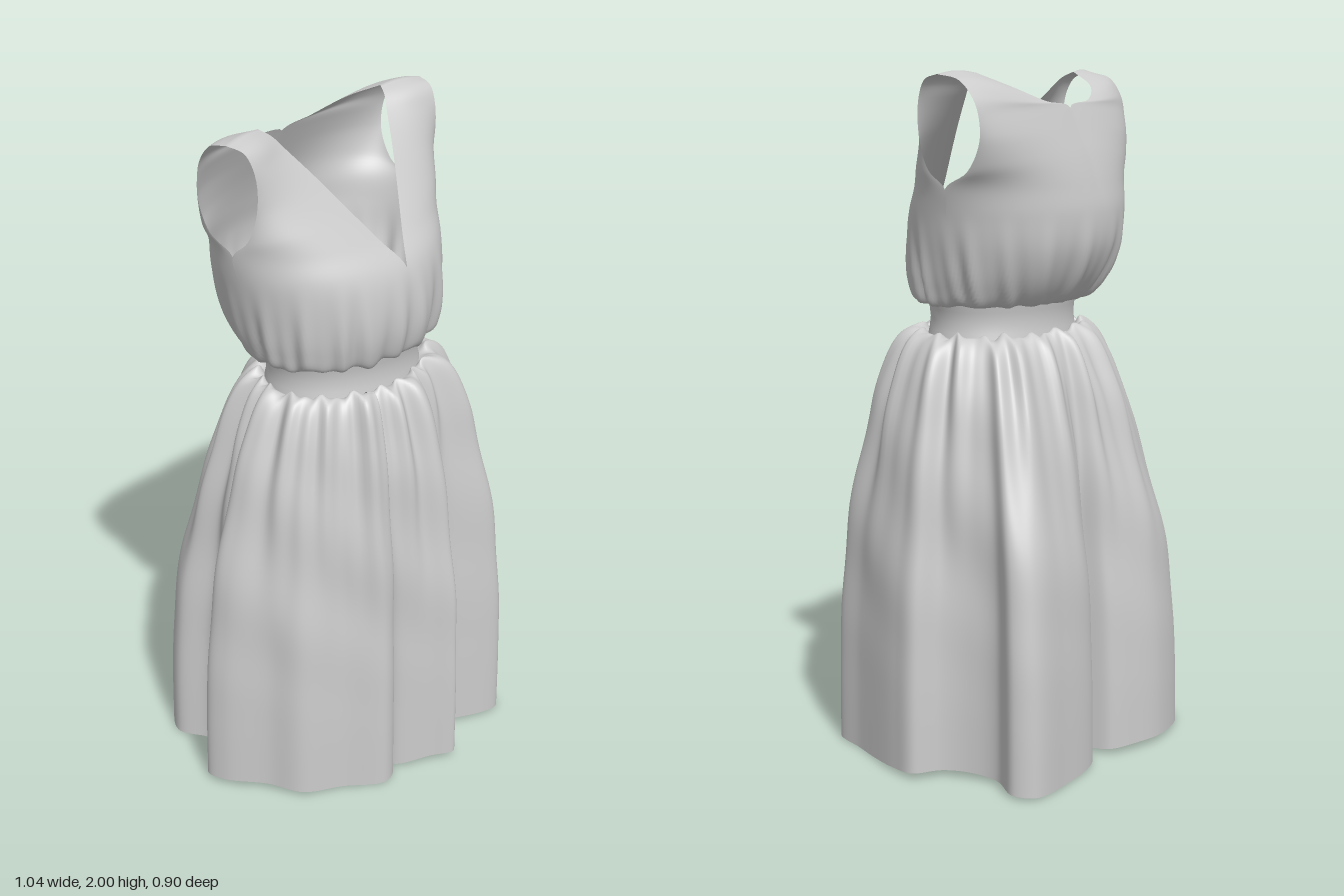
import * as THREE from 'three';
import { mergeGeometries, mergeVertices } from 'three/addons/utils/BufferGeometryUtils.js';

const cloth = new THREE.MeshStandardMaterial({ color: 0xcccccc, side: THREE.DoubleSide });
const WAIST = { rx: 0.26, rz: 0.195, z: 0.035 };
const { smoothstep: smooth, lerp } = THREE.MathUtils;

// Surface through a grid of points; point(u, v) returns a Vector3
function gridSurface(nu, nv, point, flip = false) {
  const pos = [], index = [];
  for (let j = 0; j <= nv; j++)
    for (let i = 0; i <= nu; i++) pos.push(...point(i / nu, j / nv).toArray());
  for (let j = 0; j < nv; j++)
    for (let i = 0; i < nu; i++) {
      const a = j * (nu + 1) + i, b = a + 1, c = a + nu + 1, d = c + 1;
      if (flip) index.push(a, c, b, b, c, d);
      else index.push(a, b, c, b, d, c);
    }
  const g = new THREE.BufferGeometry();
  g.setAttribute('position', new THREE.Float32BufferAttribute(pos, 3));
  g.setIndex(index);
  return g;
}

function clothMesh(name, parts) {
  const g = mergeVertices(mergeGeometries(parts), 1e-4);
  g.computeVertexNormals();
  const mesh = new THREE.Mesh(g, cloth);
  mesh.name = name;
  return mesh;
}

// Irregular gathers around the waist, about -1 to 1
const gathers = (a) =>
  0.5 * Math.sin(19 * a + 1.3 * Math.sin(3 * a)) + 0.3 * Math.sin(31 * a + 2 * Math.sin(2 * a + 1)) + 0.2 * Math.sin(11 * a + 0.7);

// Skirt: blends from the waist oval to a deeply folded hem
function makeSkirt() {
  const hemPoints = [
    [0.04, 0.45], [0.078, 0.36], [0.075, 0.27], [0.12, 0.29], [0.2, 0.355], [0.34, 0.405], [0.4, 0.29],
    [0.5, 0.1], [0.52, 0.02], [0.46, -0.04], [0.43, -0.12], [0.43, -0.21], [0.49, -0.3], [0.46, -0.36],
    [0.32, -0.375], [0.14, -0.36], [0.075, -0.29], [0.05, -0.37], [-0.02, -0.415], [-0.13, -0.445],
    [-0.31, -0.405], [-0.4, -0.31], [-0.37, -0.2], [-0.41, -0.11], [-0.515, -0.08], [-0.515, -0.01],
    [-0.45, 0.11], [-0.41, 0.21], [-0.3, 0.28], [-0.2, 0.365], [-0.145, 0.35], [-0.13, 0.25], [-0.118, 0.34], [-0.03, 0.405],
  ];
  const hem = new THREE.CatmullRomCurve3(hemPoints.map(([x, z]) => new THREE.Vector3(x, 0, z)), true);
  // Flare towards the hem, by height
  const flare = new THREE.CatmullRomCurve3([
    [0, 1.24], [0.13, 1.255], [0.3, 1.22], [0.47, 1.13], [0.63, 1.0], [0.79, 0.8], [0.9, 0.6], [0.96, 0.4], [0.99, 0.2], [1, 0],
  ].map(([f, y]) => new THREE.Vector3(f, y, 0)));

  return clothMesh('skirt', [gridSurface(360, 64, (u, v) => {
    const h = hem.getPoint(u % 1), a = Math.atan2(h.x, h.z);
    const sin = Math.sin(a), cos = Math.cos(a);
    const { x, y } = flare.getPoint(v);
    // Fuller high up at the front and on the left
    const f = x + 4 * x * (1 - x) * (0.01 + 0.06 * cos + 0.05 * sin);
    // The long folds are shallower higher up
    const fill = 0.4 * (1 - smooth(x, 0.6, 0.98));
    const outX = lerp(h.x, 0.49 * sin, fill), outZ = lerp(h.z, 0.41 * cos, fill);
    // Gathers are tight below the band and melt into the long folds
    const ripple = 0.022 * gathers(a) * smooth(v, 0, 0.2) * (1 - smooth(v, 0.25, 0.75));
    // Soft sags in the cloth
    const sag = 0.008 * Math.sin(5 * a + 9 * y) * Math.sin(7 * y) * smooth(v, 0.3, 0.5) * (1 - smooth(v, 0.6, 0.9));
    const r = ripple + sag;
    const hemDip = (0.012 + 0.01 * Math.sin(a * 4 + 1)) * smooth(v, 0.7, 1);
    const topRuffle = 0.014 * gathers(a + 0.1) * smooth(v, 0, 0.1) * (1 - smooth(v, 0.1, 0.35));
    return new THREE.Vector3(
      lerp(WAIST.rx * sin, outX, f) + r * sin,
      y + hemDip + topRuffle,
      lerp(WAIST.z + WAIST.rz * cos, outZ, f) + r * cos);
  }, true)]);
}

// Waistband: a slightly hollow oval band
function makeWaistband() {
  const profile = [[1.03, 1.23], [1.0, 1.26], [0.985, 1.29], [1.0, 1.32], [1.04, 1.36]];
  const g = new THREE.LatheGeometry(profile.map(([r, y]) => new THREE.Vector2(r, y)), 72);
  g.scale(WAIST.rx, 1, WAIST.rz).translate(0, 0, WAIST.z);
  const mesh = new THREE.Mesh(g, cloth);
  mesh.name = 'waistband';
  return mesh;
}

// Bodice: four quarter panels, each lofted from an inner edge (centre line, then
// neckline) to an outer edge (side seam, then armhole)
function makeBodice() {
  const sideSeam = [[0.27, 1.345, 0.035], [0.312, 1.345, 0.03], [0.34, 1.4, 0.01], [0.366, 1.5, -0.01], [0.385, 1.6, -0.02], [0.4, 1.68, -0.03]];
  const shoulder = [0.425, 1.99, -0.035], neckCorner = [0.27, 1.993, -0.06];
  const panels = [
    { // front, with the V neckline
      sign: 1,
      inner: [[0, 1.345, 0.23], [0, 1.34, 0.255], [0, 1.4, 0.28], [0, 1.5, 0.285], [0, 1.6, 0.262],
        [0.052, 1.68, 0.2], [0.1, 1.75, 0.145], [0.16, 1.84, 0.075], [0.22, 1.93, 0.005], [0.25, 1.975, -0.03], neckCorner],
      outer: [...sideSeam, [0.4, 1.73, 0.02], [0.397, 1.81, 0.045], [0.402, 1.92, 0.042], [0.412, 1.975, 0.015], shoulder],
    },
    { // back, with the scooped neckline
      sign: -1,
      inner: [[0, 1.345, -0.16], [0, 1.34, -0.19], [0, 1.4, -0.25], [0, 1.5, -0.297], [0, 1.6, -0.302],
        [0, 1.68, -0.285], [0, 1.76, -0.26], [0, 1.83, -0.232], [0, 1.895, -0.205],
        [0.12, 1.915, -0.195], [0.22, 1.955, -0.145], neckCorner],
      outer: [...sideSeam, [0.405, 1.73, -0.11], [0.407, 1.81, -0.155], [0.41, 1.88, -0.157],
        [0.415, 1.93, -0.14], [0.42, 1.975, -0.1], shoulder],
    },
  ];
  const toCurve = (pts) => new THREE.CatmullRomCurve3(pts.map((p) => new THREE.Vector3(...p)));
  const parts = [];
  for (const { sign, inner, outer } of panels) {
    const inCurve = toCurve(inner), outCurve = toCurve(outer), rows = inner.length - 1;
    for (const side of [1, -1]) {
      parts.push(gridSurface(44, rows * 6, (u, v) => {
        const a = inCurve.getPoint(v), b = outCurve.getPoint(v), row = v * rows;
        a.x = Math.max(0, a.x);
        // Round like a body low down, flat towards the shoulder
        const round = 1 - smooth(row, 5, rows);
        const t = u * Math.PI / 2;
        const ux = lerp(u, Math.sin(t), round);
        const uz = lerp(u, 1 - Math.cos(t), round);
        // Fullness over the chest and a rounded crest on the shoulder
        const arch = Math.sin(Math.PI * u);
        const puff = 0.015 * arch * smooth(row, 3, 7) * (1 - smooth(row, rows - 1.5, rows));
        const crest = 0.008 * arch * smooth(row, rows - 2, rows);
        const p = new THREE.Vector3(
          side * lerp(a.x, b.x, ux),
          lerp(a.y, b.y, uz) + crest,
          lerp(a.z, b.z, uz) + sign * puff);
        // Gathers above the band
        const ang = Math.atan2(p.x / 1.25, p.z);
        const fade = smooth(row, 0, 1.5) * (1 - smooth(p.y, 1.38, 1.62));
        const r = 0.014 * gathers(ang + 0.5) * fade;
        p.x += r * Math.sin(ang) + 0.022 * smooth(p.y, 1.58, 1.9);
        p.z += r * Math.cos(ang);
        p.y += 0.014 * gathers(ang * 0.9 + 2) * Math.cos(ang / 2) * fade;
        return p;
      }, side * sign < 0));
    }
  }
  return clothMesh('bodice', parts);
}

export function createModel() {
  const dress = new THREE.Group();
  dress.name = 'dress';
  dress.add(makeSkirt(), makeWaistband(), makeBodice());
  return dress;
}
